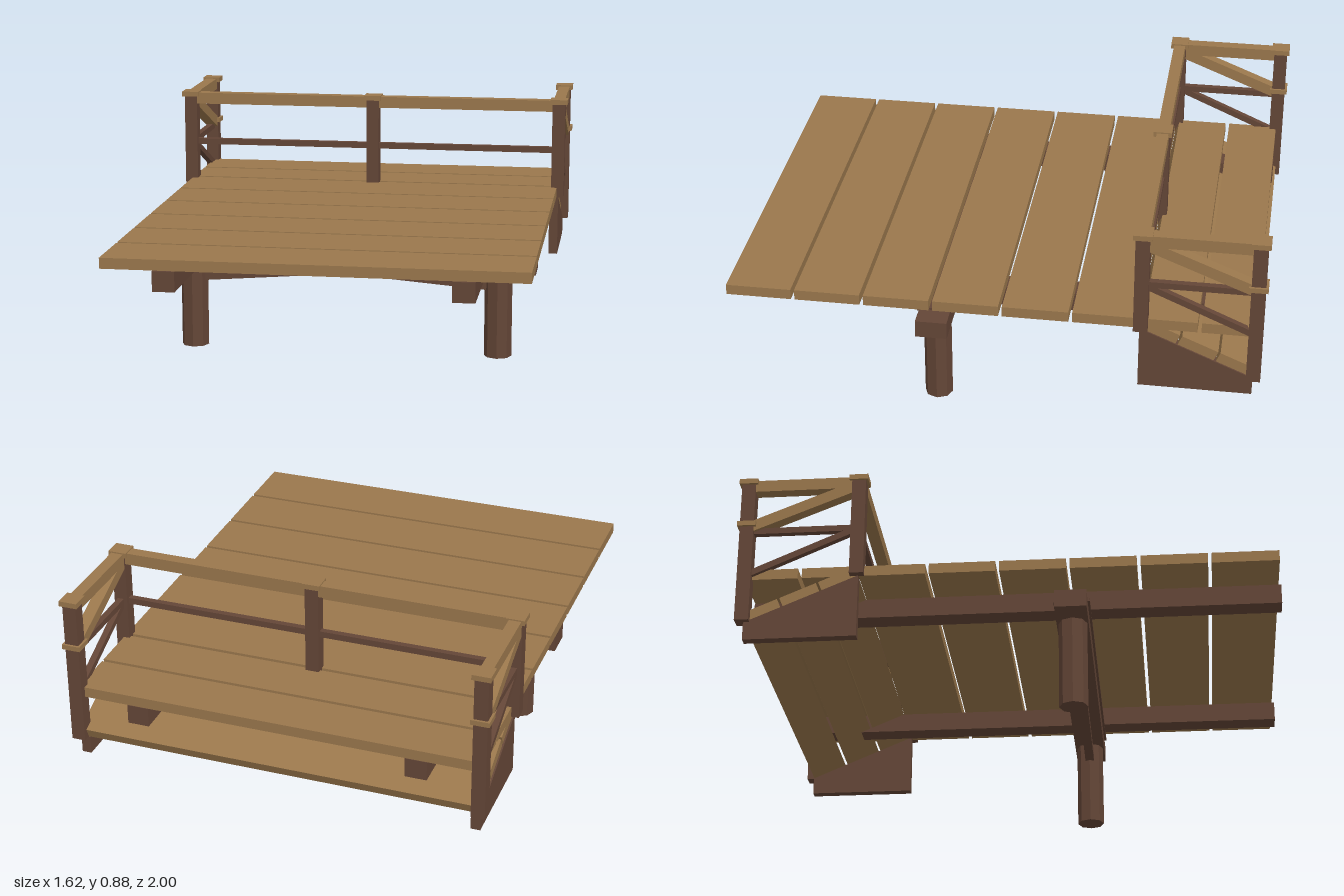
import * as THREE from 'three';

export function createModel() {
  const model = new THREE.Group();
  model.name = 'woodenDock';

  const plankWood = new THREE.MeshStandardMaterial({ color: 0x9a774c });
  plankWood.name = 'light plank wood';
  const frameWood = new THREE.MeshStandardMaterial({ color: 0x644637 });
  frameWood.name = 'dark frame wood';

  const add = (name, geometry, material) => {
    const mesh = new THREE.Mesh(geometry, material);
    mesh.name = name;
    model.add(mesh);
    return mesh;
  };
  // Box given by its limits on each axis
  const box = (name, material, [x0, x1], [y0, y1], [z0, z1]) => {
    const mesh = add(name, new THREE.BoxGeometry(x1 - x0, y1 - y0, z1 - z0), material);
    mesh.position.set((x0 + x1) / 2, (y0 + y1) / 2, (z0 + z1) / 2);
    return mesh;
  };
  // Bar whose length runs between two points in a side plane (z, y)
  const slopedBar = (name, material, x, width, thickness, [z0, y0], [z1, y1]) => {
    const length = Math.hypot(z1 - z0, y1 - y0);
    const mesh = add(name, new THREE.BoxGeometry(width, thickness, length), material);
    mesh.position.set(x, (y0 + y1) / 2, (z0 + z1) / 2);
    mesh.rotation.x = -Math.atan2(y1 - y0, z1 - z0);
    return mesh;
  };

  // Level deck planks: six wide, two narrower ones at the back
  for (let i = 0; i < 6; i++) {
    const front = 0.99 - i * 0.258;
    box('deckPlank', plankWood, [-0.77, 0.77], [0.475, 0.515], [front - 0.244, front]);
  }
  for (const back of [-0.755, -0.965]) {
    box('deckPlank', plankWood, [-0.77, 0.77], [0.475, 0.515], [back, back + 0.195]);
  }

  // Sloping planks under the back of the deck
  const slope = Math.atan2(0.175, 0.415);
  for (let i = 0; i < 3; i++) {
    const d0 = i * 0.153, d1 = d0 + 0.144, lift = 0.02;
    const at = (d) => [
      -0.545 - d * Math.cos(slope) - lift * Math.sin(slope),
      0.475 - d * Math.sin(slope) + lift * Math.cos(slope),
    ];
    slopedBar('rampPlank', plankWood, 0, 1.54, 0.04, at(d0), at(d1));
  }

  // Cross beam with a thin bearing strip on top
  box('crossBeam', frameWood, [-0.74, 0.74], [0.335, 0.402], [0.17, 0.288]);
  box('bearingStrip', frameWood, [-0.655, 0.655], [0.395, 0.41], [0.162, 0.296]);

  for (const side of [-1, 1]) {
    // Joist
    box('joist', frameWood, [side * 0.535 - 0.041, side * 0.535 + 0.041], [0.4, 0.475], [-0.967, 1]);

    // Eight-sided leg
    const legGeometry = new THREE.CylinderGeometry(0.053, 0.053, 0.337, 8).toNonIndexed();
    legGeometry.computeVertexNormals();
    add('leg', legGeometry, frameWood).position.set(side * 0.595, 0.1685, 0.23);

    // Shallow brace rising to the middle of the cross beam
    const brace = add('brace', new THREE.BoxGeometry(0.575, 0.034, 0.035), frameWood);
    brace.position.set(side * 0.285, 0.3, 0.23);
    brace.rotation.z = -side * 0.08;

    // Side board with a sloping top edge
    const board = new THREE.Shape([
      new THREE.Vector2(0.545, 0.23),
      new THREE.Vector2(0.962, 0.23),
      new THREE.Vector2(0.962, 0.299),
      new THREE.Vector2(0.545, 0.475),
    ]);
    const boardGeometry = new THREE.ExtrudeGeometry(board, { depth: 0.036, bevelEnabled: false });
    const sideBoard = add('sideBoard', boardGeometry, frameWood);
    sideBoard.rotation.y = Math.PI / 2;
    sideBoard.position.x = side * 0.758 - 0.018;

    // Corner posts with caps, and a collar on the rear post
    const px = side * 0.773;
    const postX = [px - 0.026, px + 0.026];
    const capX = [px - 0.035, px + 0.035];
    box('frontPost', frameWood, postX, [0.475, 0.87], [-0.576, -0.524]);
    box('frontPostCap', plankWood, capX, [0.863, 0.883], [-0.585, -0.515]);
    box('rearPost', frameWood, postX, [0.3, 0.87], [-0.991, -0.939]);
    box('rearPostCap', plankWood, capX, [0.863, 0.883], [-1, -0.93]);
    box('rearPostCollar', plankWood, capX, [0.685, 0.704], [-1, -0.93]);

    // Side rails: level pair and sloping pair
    box('sideTopRail', plankWood, [px - 0.023, px + 0.023], [0.832, 0.878], [-0.96, -0.55]);
    box('sideMiddleRail', frameWood, [px - 0.012, px + 0.012], [0.658, 0.682], [-0.96, -0.55]);
    slopedBar('slopingTopRail', plankWood, px, 0.046, 0.042, [-0.555, 0.843], [-0.962, 0.68]);
    slopedBar('slopingMiddleRail', frameWood, px, 0.024, 0.024, [-0.555, 0.667], [-0.962, 0.49]);
  }

  // Long rail across the deck with a middle post
  box('crossTopRail', plankWood, [-0.76, 0.76], [0.832, 0.878], [-0.573, -0.527]);
  box('crossMiddleRail', frameWood, [-0.76, 0.76], [0.658, 0.682], [-0.562, -0.538]);
  box('middlePost', frameWood, [-0.026, 0.026], [0.475, 0.87], [-0.576, -0.524]);
  box('middlePostCap', plankWood, [-0.035, 0.035], [0.863, 0.883], [-0.585, -0.515]);

  return model;
}
